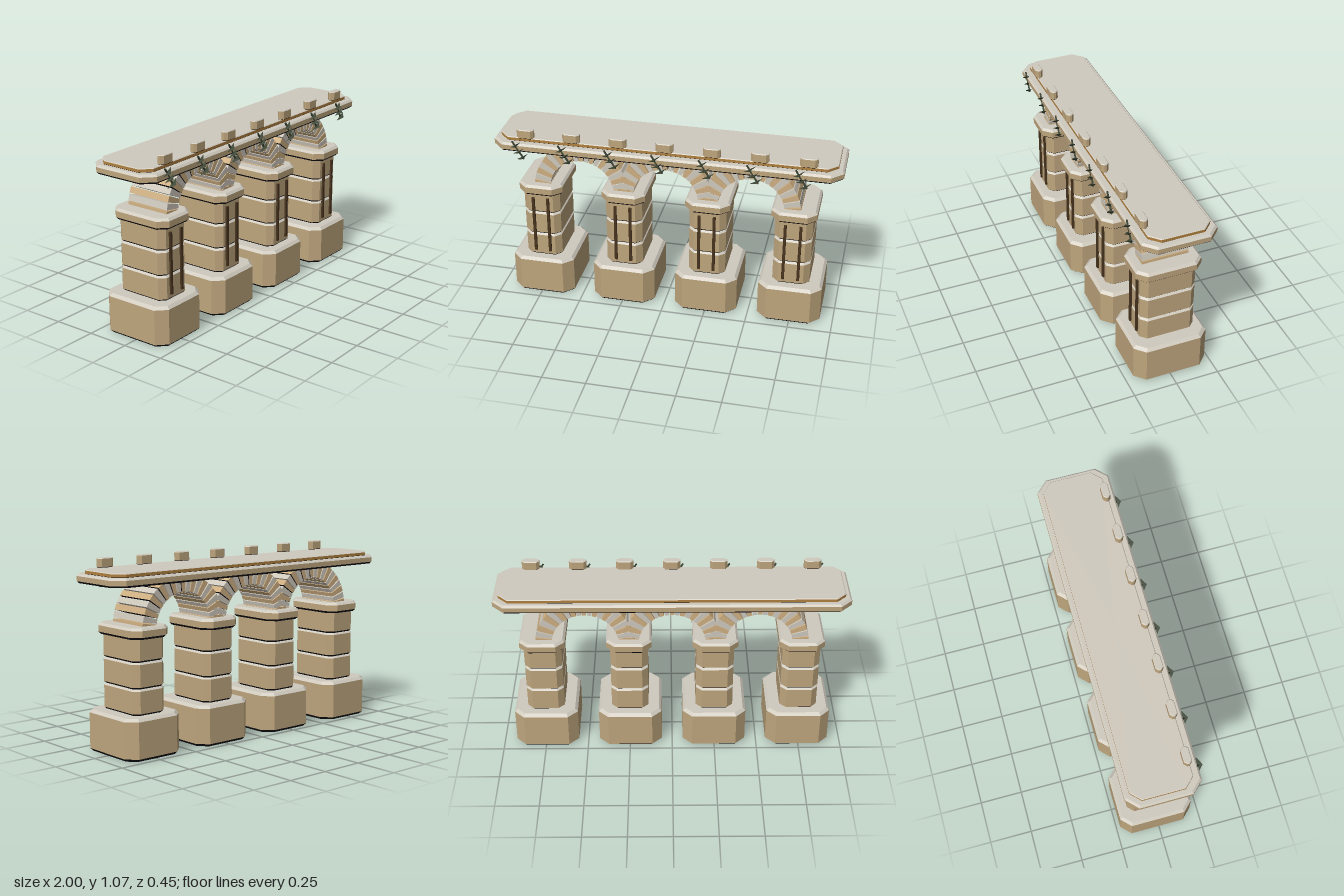
import * as THREE from 'three';

const mat = (name, color, side = THREE.FrontSide) => {
  const m = new THREE.MeshStandardMaterial({ color, side });
  m.name = name;
  return m;
};

// Non-indexed geometry made of groups of triangles, one group per material slot
function facetGeometry(groups) {
  const geo = new THREE.BufferGeometry();
  const pos = [];
  groups.forEach((tris, slot) => {
    geo.addGroup(pos.length / 3, tris.length, slot);
    tris.forEach(p => pos.push(...p));
  });
  geo.setAttribute('position', new THREE.Float32BufferAttribute(pos, 3));
  geo.computeVertexNormals();
  return geo;
}

const quad = (a, b, c, d) => [a, b, c, a, c, d];

// Eight-cornered block with bevelled rims; slots: 0 sides, 1 top, 2 underside
function blockGeometry(w, h, d, cut, bevel) {
  const ring = (y, inset) => {
    const x = w / 2 - inset, z = d / 2 - inset, c = cut - inset * 0.5;
    return [[x, z - c], [x - c, z], [c - x, z], [-x, z - c],
      [-x, c - z], [c - x, -z], [x - c, -z], [x, c - z]].map(([px, pz]) => [px, y, pz]);
  };
  const rings = [ring(0, bevel), ring(bevel, 0), ring(h - bevel, 0), ring(h, bevel)];
  const sides = [], top = [], under = [];
  for (let i = 0; i < 8; i++) {
    const j = (i + 1) % 8;
    [under, sides, top].forEach((list, k) =>
      list.push(...quad(rings[k][i], rings[k + 1][i], rings[k + 1][j], rings[k][j])));
    top.push([0, h, 0], rings[3][j], rings[3][i]);
    under.push([0, 0, 0], rings[0][i], rings[0][j]);
  }
  return facetGeometry([sides, top, under]);
}

// Wedge-shaped arch stone; slots: 0 faces, 1 lower joint
function wedgeGeometry(a0, a1, rIn, rOut, depth) {
  const p = (a, r, z) => [Math.cos(a) * r, Math.sin(a) * r, z * depth / 2];
  const [A, B, C, D] = [[a0, rIn], [a0, rOut], [a1, rOut], [a1, rIn]];
  const f = v => p(...v, 1), b = v => p(...v, -1);
  const joint0 = quad(f(A), b(A), b(B), f(B));
  const joint1 = quad(f(C), b(C), b(D), f(D));
  const faces = [
    ...quad(f(A), f(B), f(C), f(D)), ...quad(b(B), b(A), b(D), b(C)),
    ...quad(f(B), b(B), b(C), f(C)), ...quad(f(D), b(D), b(A), f(A))];
  const rightHalf = (a0 + a1) / 2 <= Math.PI / 2 + 0.01;
  faces.push(...(rightHalf ? joint1 : joint0));
  return facetGeometry([faces, rightHalf ? joint0 : joint1]);
}

export function createModel() {
  const stone = mat('sandstone', 0xbfa67e);
  const pale = mat('pale stone', 0xd0cabe);
  const shade = mat('dark underside', 0x15151f);
  const archTan = mat('arch sandstone', 0xcfb083);
  const ochre = mat('ochre trim', 0xb0803f);
  const wood = mat('dark brown', 0x49341f);
  const leafGreen = mat('dark ivy', 0x3c4534, THREE.DoubleSide);
  const model = new THREE.Group();
  model.name = 'arcade';

  const add = (parent, name, geo, material, x, y, z) => {
    const m = new THREE.Mesh(geo, material);
    m.name = name;
    m.position.set(x, y, z);
    parent.add(m);
    return m;
  };
  const stoneSet = [stone, pale, shade];
  const zc = -0.011;

  // Pillars: base, three shaft blocks, capital and two front rods
  const baseGeo = blockGeometry(0.37, 0.235, 0.432, 0.056, 0.016);
  const shaftGeo = blockGeometry(0.216, 0.144, 0.32, 0.034, 0.01);
  const capGeo = blockGeometry(0.26, 0.062, 0.38, 0.05, 0.013);
  const rodGeo = new THREE.BoxGeometry(0.016, 0.358, 0.012);
  for (let i = 0; i < 4; i++) {
    const pillar = new THREE.Group();
    pillar.name = 'pillar';
    pillar.position.x = (i - 1.5) * 0.494;
    model.add(pillar);
    add(pillar, 'base', baseGeo, stoneSet, 0, 0, zc);
    for (let k = 0; k < 3; k++) add(pillar, 'shaftBlock', shaftGeo, stoneSet, 0, 0.235 + k * 0.145, zc);
    add(pillar, 'capital', capGeo, stoneSet, 0, 0.652, zc);
    for (const s of [-1, 1]) add(pillar, 'frontRod', rodGeo, wood, s * 0.044, 0.446, 0.154);
  }

  // Arches: alternating tan and pale wedge stones
  const count = 21, step = Math.PI / count, gap = 0.012;
  for (let i = -1; i <= 1; i++) {
    const arch = new THREE.Group();
    arch.name = 'arch';
    arch.position.set(i * 0.494, 0.69, zc);
    model.add(arch);
    for (let k = 0; k < count; k++) {
      const geo = wedgeGeometry(k * step + gap, (k + 1) * step - gap, 0.19, 0.284, 0.27);
      const even = k % 2 === 0;
      add(arch, 'archStone', geo, even ? [archTan, shade] : [pale, pale], 0, 0, 0);
    }
  }

  // Deck slab and ochre-edged upper layer
  add(model, 'deck', blockGeometry(2, 0.05, 0.424, 0.065, 0.011), stoneSet, 0, 0.94, zc);
  add(model, 'deckTop', blockGeometry(1.934, 0.024, 0.35, 0.055, 0.004), [ochre, pale, shade], 0, 0.988, -0.017);

  // Ivy sprig: slanted stem with three outward-pointing leaves
  const leaves = [];
  for (let k = 0; k < 3; k++) {
    const x = -0.018 + k * 0.02, y = 0.982 - k * 0.035;
    const l = [x - 0.034, y - 0.02, 0.197], r = [x + 0.036, y + 0.022, 0.197];
    const tip = [x, y - 0.002, 0.227], low = [x + 0.004, y - 0.014, 0.197];
    leaves.push(l, low, tip, low, r, tip, r, l, tip);
  }
  const leafGeo = facetGeometry([leaves]);
  const stemGeo = new THREE.BoxGeometry(0.008, 0.125, 0.008);

  // Seven parapet stones, each with a sprig beside it
  const merlonGeo = blockGeometry(0.1, 0.054, 0.045, 0.016, 0.004);
  for (let i = -3; i <= 3; i++) {
    const x = i * 0.269;
    add(model, 'parapetStone', merlonGeo, stoneSet, x, 1.011, 0.147);
    const ivy = new THREE.Group();
    ivy.name = 'ivySprig';
    ivy.position.x = x - 0.033;
    model.add(ivy);
    add(ivy, 'leaves', leafGeo, [leafGreen], 0, 0, 0);
    add(ivy, 'stem', stemGeo, leafGreen, 0, 0.953, 0.2).rotation.z = 0.55;
  }
  return model;
}
